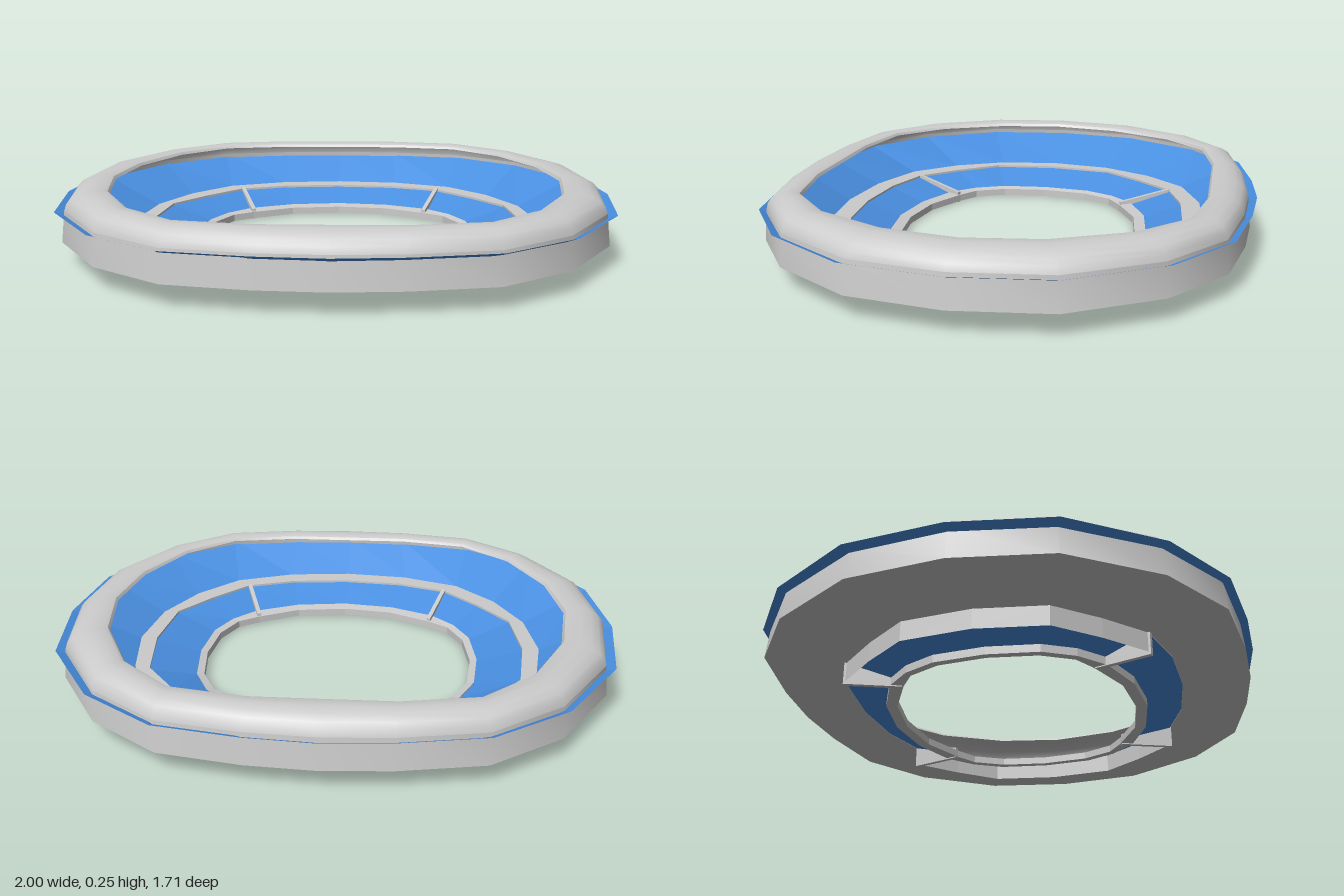
import * as THREE from 'three';
import { toCreasedNormals } from 'three/addons/utils/BufferGeometryUtils.js';

// Quarter outlines [x, z] from the side axis to the front axis
const OUTER = [[1, 0], [0.955, 0.33], [0.765, 0.62], [0.515, 0.79], [0.23, 0.84], [0, 0.857]];
const LIP = [[0.82, 0], [0.78, 0.25], [0.66, 0.49], [0.487, 0.645], [0.235, 0.69], [0, 0.69]];
const WALK = [[0.745, 0], [0.71, 0.23], [0.61, 0.42], [0.465, 0.57], [0.245, 0.65], [0, 0.675]];
const STEP = [[0.685, 0], [0.655, 0.24], [0.54, 0.385], [0.41, 0.52], [0.225, 0.58], [0, 0.6]];
const FOOT = [[0.52, 0], [0.5, 0.18], [0.445, 0.29], [0.36, 0.375], [0.195, 0.445], [0, 0.47]];
const FIELD = [[0.495, 0], [0.475, 0.17], [0.42, 0.28], [0.345, 0.33], [0.19, 0.405], [0, 0.43]];

const mix = (a, b, t) => a.map((p, i) => [p[0] + (b[i][0] - p[0]) * t, p[1] + (b[i][1] - p[1]) * t]);

// Mirror a quarter outline into a closed ring of 20 points at height y
function ring(quarter, y) {
  const half = [...quarter, ...quarter.slice(0, 5).reverse().map(([x, z]) => [-x, z])];
  const full = [...half, ...half.slice(1, 10).reverse().map(([x, z]) => [x, -z])];
  return full.map(([x, z]) => [x, y, z]);
}

// Skin a series of rings; keep(i) chooses which segments around are built
function loft(rings, keep = () => true) {
  const v = [];
  for (let r = 0; r < rings.length - 1; r++) {
    const a = rings[r], b = rings[r + 1], n = a.length;
    for (let i = 0; i < n; i++) {
      if (!keep(i)) continue;
      const j = (i + 1) % n;
      v.push(...a[i], ...b[i], ...b[j], ...a[i], ...b[j], ...a[j]);
    }
  }
  const g = new THREE.BufferGeometry();
  g.setAttribute('position', new THREE.Float32BufferAttribute(v, 3));
  g.computeVertexNormals();
  return g;
}

export function createModel() {
  const group = new THREE.Group();
  const smoothGrey = new THREE.MeshStandardMaterial({ color: 0xcccccc, side: THREE.DoubleSide });
  const grey = new THREE.MeshStandardMaterial({ color: 0xcccccc, side: THREE.DoubleSide, flatShading: true });
  const blue = new THREE.MeshStandardMaterial({ color: 0x4a90e2, side: THREE.DoubleSide, flatShading: true });

  const add = (name, geometry, material) => {
    const mesh = new THREE.Mesh(geometry, material);
    mesh.name = name;
    group.add(mesh);
    return mesh;
  };

  // Outer wall, leaning slightly inwards
  const wall = loft([ring(mix(OUTER, LIP, 0.11), 0.08), ring(mix(OUTER, LIP, 0.18), 0.19)]);
  add('outerWall', toCreasedNormals(wall, 0.55), smoothGrey);

  // Rounded roof canopy, from the wall to its inner lip
  const roofProfile = [[0.18, 0.19], [0.22, 0.212], [0.31, 0.23], [0.46, 0.244],
    [0.66, 0.252], [0.88, 0.25], [0.96, 0.246], [1, 0.236]];
  const roof = loft(roofProfile.map(([t, y]) => ring(mix(OUTER, LIP, t), y)));
  add('roof', toCreasedNormals(roof, 0.6), smoothGrey);

  // Seating bowl: upper stand pokes out past the wall, lower stand surrounds the field
  add('upperStand', loft([ring(OUTER, 0.188), ring(WALK, 0.084)]), blue);
  add('lowerStand', loft([ring(STEP, 0.078), ring(FOOT, 0.032)]), blue);

  // Walkway between the stands, with the flat underside of the building
  add('walkway', loft([ring(WALK, 0.086), ring(STEP, 0.086), ring(STEP, 0.076)]), grey);
  add('underside', loft([ring(mix(OUTER, LIP, 0.11), 0.08), ring(STEP, 0.08)]), grey);

  // Base walls below the two side stands; front and back stay open
  const onSide = i => i % 10 < 3 || i % 10 > 6;
  add('baseWall', loft([ring(STEP, 0.08), ring(STEP, 0.01)], onSide), grey);

  // Low rim around the field
  add('fieldRim', loft([ring(FOOT, 0.004), ring(FOOT, 0.036), ring(FIELD, 0.03),
    ring(FIELD, 0.004), ring(FOOT, 0.004)]), grey);

  // Sloping divider walls at the four corners of the lower stand
  const [x0, z0] = [0.41, 0.525], [x1, z1] = [0.345, 0.335];
  const length = Math.hypot(x1 - x0, z1 - z0);
  const side = new THREE.Shape([[0, 0], [length, 0], [length, 0.042], [0, 0.09]]
    .map(([x, y]) => new THREE.Vector2(x, y)));
  const panel = new THREE.ExtrudeGeometry(side, { depth: 0.016, bevelEnabled: false });
  panel.translate(0, 0, -0.008);
  for (const sx of [1, -1]) {
    for (const sz of [1, -1]) {
      const divider = add('cornerDivider', panel, grey);
      divider.position.set(sx * x0, 0, sz * z0);
      divider.rotation.y = Math.atan2(-sz * (z1 - z0), sx * (x1 - x0));
    }
  }
  return group;
}
